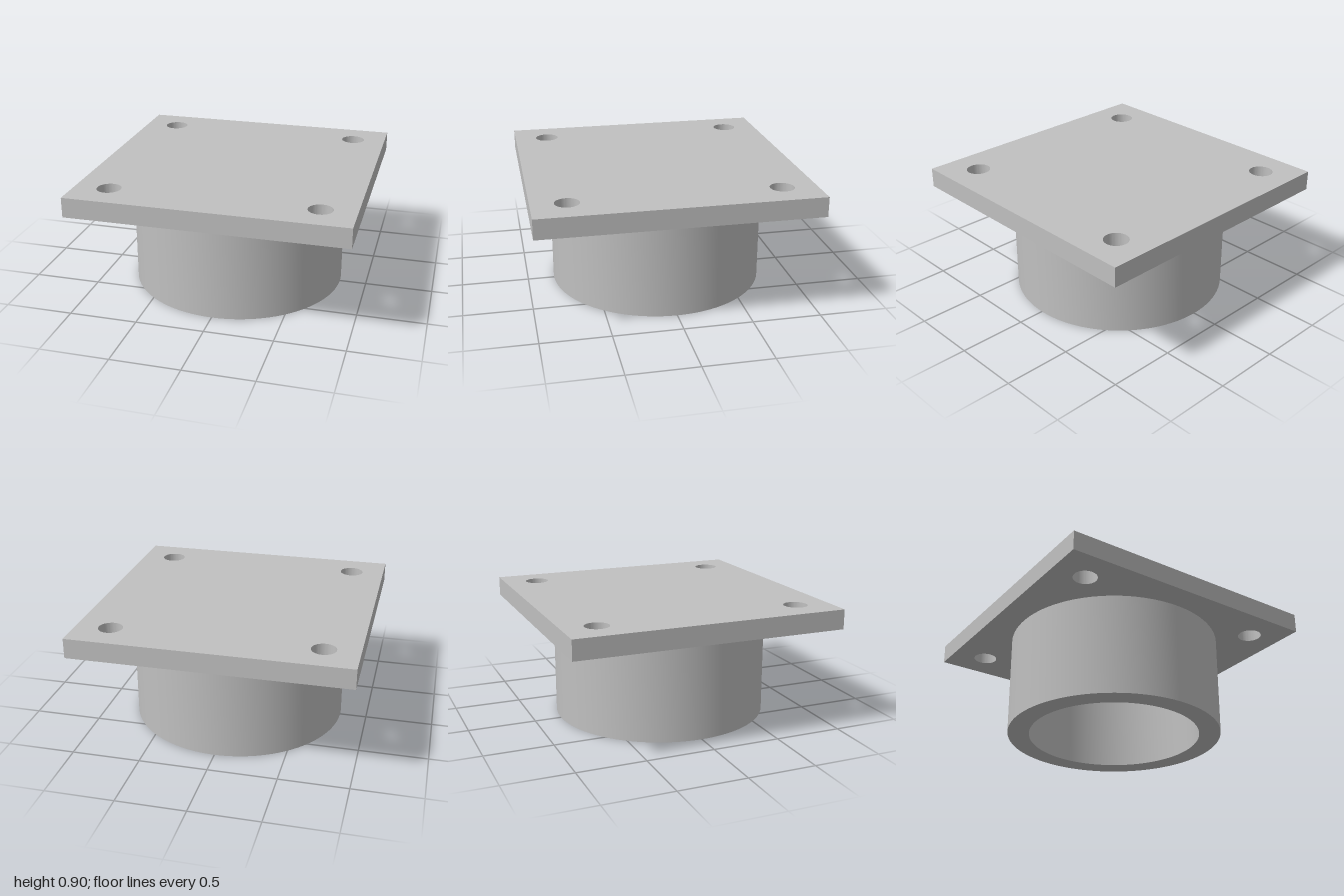
import * as THREE from 'three';
import { toCreasedNormals } from 'three/addons/utils/BufferGeometryUtils.js';

const PLATE_BOTTOM = 0.755;
const PLATE_THICKNESS = 0.145;
const CREASE = Math.PI / 6;

// Square plate with a bolt hole near each corner
function plateGeometry() {
  const shape = new THREE.Shape();
  shape.moveTo(-1, -1).lineTo(1, -1).lineTo(1, 1).lineTo(-1, 1).closePath();
  for (const x of [-0.75, 0.75]) {
    for (const y of [-0.75, 0.75]) {
      shape.holes.push(new THREE.Path().absarc(x, y, 0.087, 0, Math.PI * 2, true));
    }
  }
  const geometry = new THREE.ExtrudeGeometry(shape, {
    depth: PLATE_THICKNESS, bevelEnabled: false, curveSegments: 32,
  });
  geometry.rotateX(-Math.PI / 2).translate(0, PLATE_BOTTOM, 0);
  return toCreasedNormals(geometry, CREASE);
}

// Round collar, open below, with a blind bore
function collarGeometry() {
  const profile = [
    [0, 0.63], [0.64, 0.63], [0.64, 0], [0.8, 0], [0.8, PLATE_BOTTOM],
  ].map(([r, y]) => new THREE.Vector2(r, y));
  return toCreasedNormals(new THREE.LatheGeometry(profile, 96), CREASE);
}

export function createModel() {
  const model = new THREE.Group();
  model.name = 'flangedCap';
  const metal = new THREE.MeshStandardMaterial({ color: 0xc0c0c0 });
  metal.name = 'light grey metal';

  const plate = new THREE.Mesh(plateGeometry(), metal);
  plate.name = 'mountingPlate';
  const collar = new THREE.Mesh(collarGeometry(), metal);
  collar.name = 'collar';

  model.add(plate, collar);
  return model;
}
